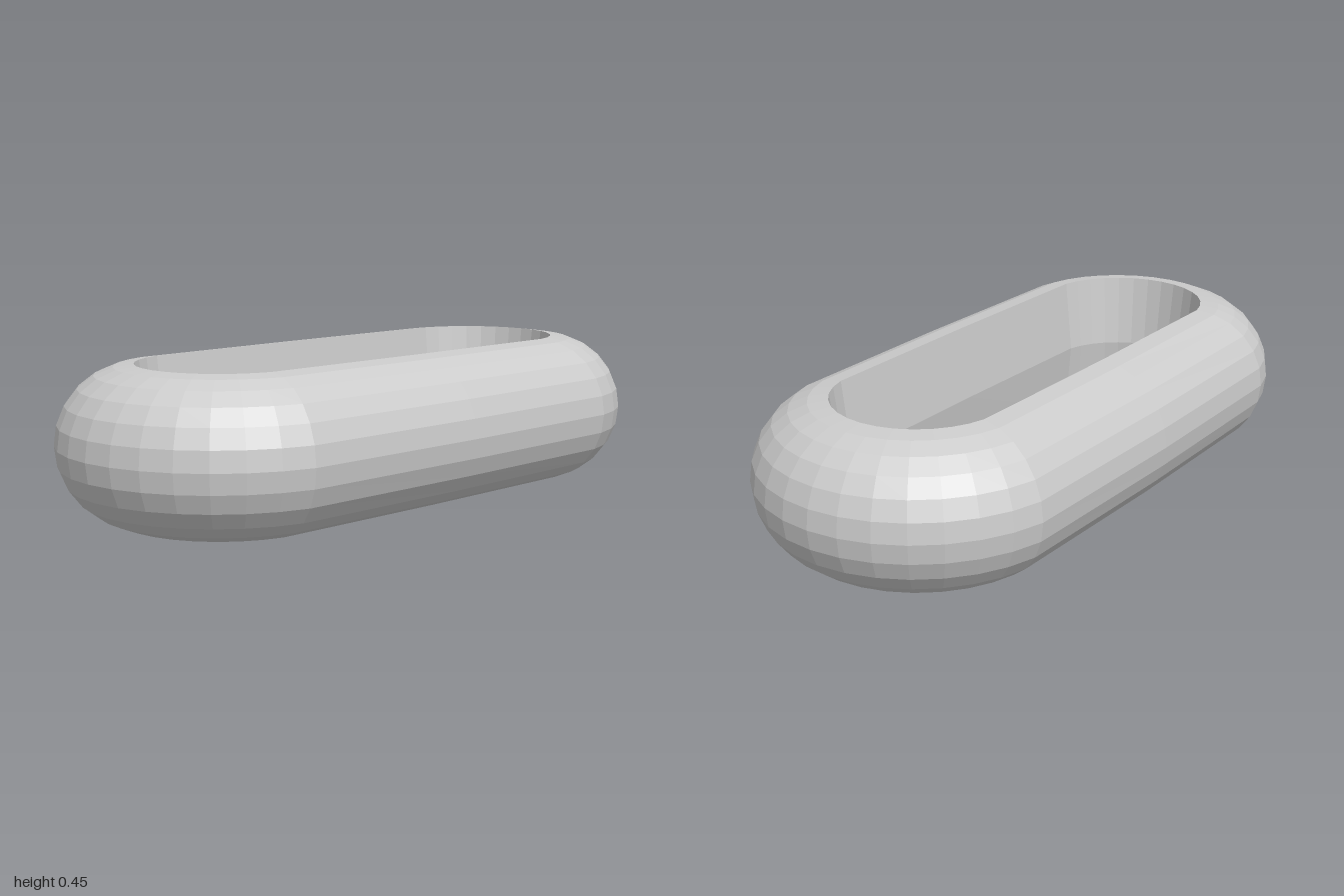
import * as THREE from 'three';

const HALF_HEIGHT = 0.224;  // radius of the rounded outer side
const INNER_RADIUS = 0.256; // rim of the opening
const BULGE = 0.026;        // inner wall swells inward at mid height
const END_CENTRE = 0.52;    // z of the centre of each rounded end

// Half-round cross-section: [distance from the centre line, height]
function makeProfile() {
  const points = [];
  for (let i = 0; i <= 12; i++) {
    const t = (i / 12) * Math.PI;
    points.push([INNER_RADIUS + HALF_HEIGHT * Math.sin(t), HALF_HEIGHT * (1 + Math.cos(t))]);
  }
  points.push([INNER_RADIUS - BULGE, HALF_HEIGHT]);
  return points;
}

// Stations round the stadium-shaped path: direction angle and centre z
function makeStations() {
  const stations = [];
  for (let i = 0; i < 32; i++) {
    const centre = i % 16 === 0 ? 0 : i < 16 ? END_CENTRE : -END_CENTRE;
    stations.push([(i / 32) * Math.PI * 2, centre]);
  }
  return stations;
}

// Sweep the cross-section round the closed path
function sweepGeometry(profile, stations) {
  const positions = [];
  const indices = [];
  const n = profile.length;
  const m = stations.length;
  for (const [angle, centre] of stations) {
    for (const [r, y] of profile) {
      positions.push(r * Math.cos(angle), y, centre + r * Math.sin(angle));
    }
  }
  for (let i = 0; i < m; i++) {
    for (let j = 0; j < n; j++) {
      const a = i * n + j;
      const b = ((i + 1) % m) * n + j;
      const c = ((i + 1) % m) * n + ((j + 1) % n);
      const d = i * n + ((j + 1) % n);
      indices.push(a, b, d, b, c, d);
    }
  }
  const geometry = new THREE.BufferGeometry();
  geometry.setAttribute('position', new THREE.Float32BufferAttribute(positions, 3));
  geometry.setIndex(indices);
  geometry.computeVertexNormals();
  return geometry;
}

export function createModel() {
  const group = new THREE.Group();
  group.name = 'chainLink';
  const material = new THREE.MeshStandardMaterial({ color: 0xcccccc, flatShading: true });
  const link = new THREE.Mesh(sweepGeometry(makeProfile(), makeStations()), material);
  link.name = 'linkBody';
  group.add(link);
  return group;
}
